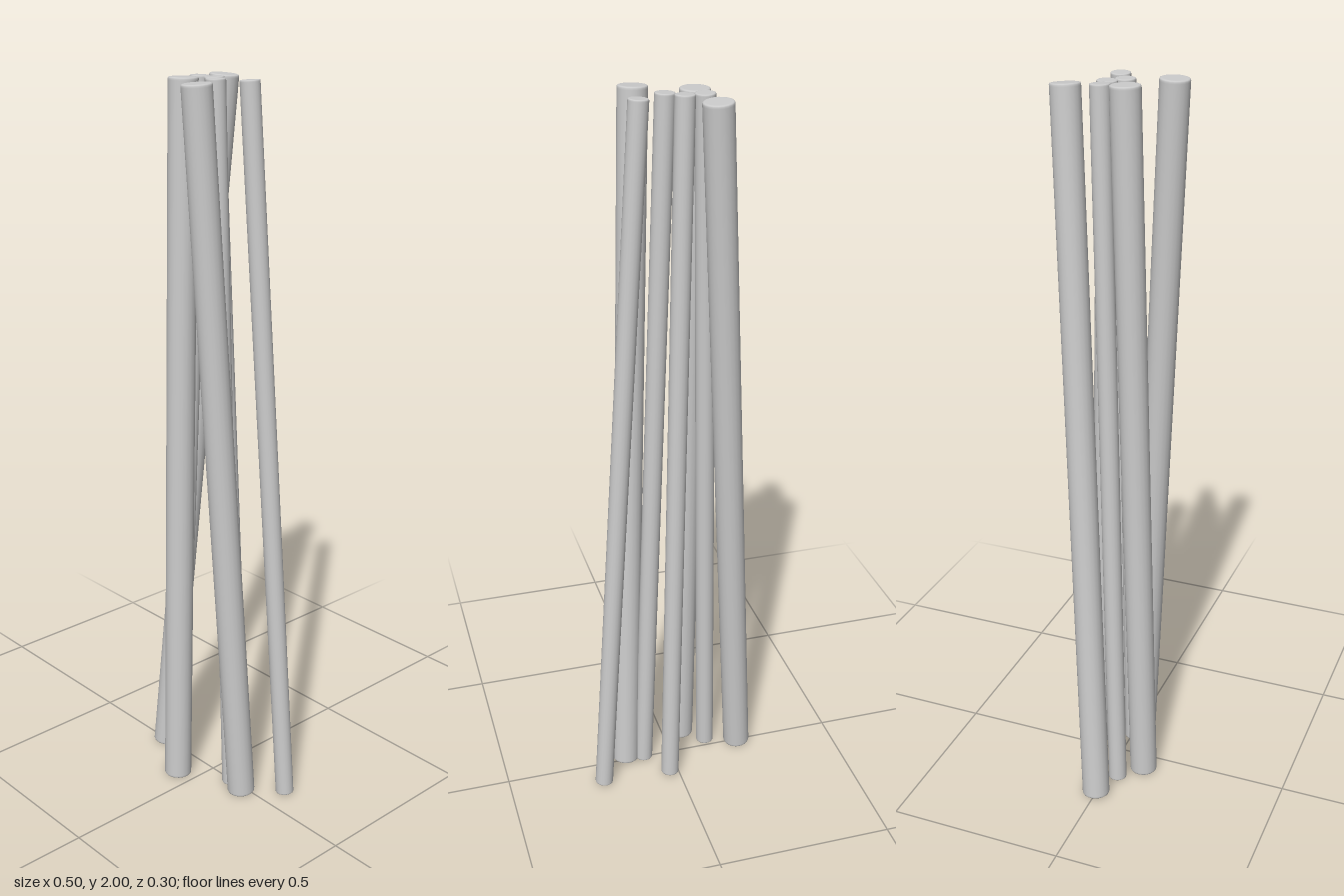
import * as THREE from 'three';

const material = new THREE.MeshStandardMaterial({ color: 0xcccccc });

// Each pole: radius, top [x, z], bottom [x, z]
const POLES = [
  ['thickPoleBackRight', 0.039, [-0.085, -0.116], [-0.213, 0.0]],
  ['thickPoleFrontRight', 0.039, [-0.073, 0.034], [-0.057, 0.089]],
  ['thickPoleFrontLeft', 0.039, [0.064, 0.111], [0.137, 0.014]],
  ['thinPoleRight', 0.026, [-0.08, -0.028], [-0.12, 0.031]],
  ['thinPoleBack', 0.026, [-0.029, -0.03], [0.025, -0.085]],
  ['thinPoleLeft', 0.026, [0.089, -0.041], [0.226, -0.076]],
  ['thinPoleMiddle', 0.026, [0.012, 0.002], [0.083, 0.004]],
];

// Round pole with softly eased rims, leaning from its bottom to its top point
function makePole(name, r, [tx, tz], [bx, bz]) {
  // Square-cut ends tilt with the pole, so the centres sit just inside the height
  const inset = r * Math.hypot(tx - bx, tz - bz) / 2;
  const bottom = new THREE.Vector3(bx, inset, bz);
  const axis = new THREE.Vector3(tx, 2 - inset, tz).sub(bottom);
  const h = axis.length();
  const b = r * 0.1;
  const lower = [[0, 0], [r - 2 * b, 0], [r - b, 0], [r - 0.3 * b, 0.3 * b], [r, b], [r, 2 * b]];
  const upper = lower.map(([x, y]) => [x, h - y]).reverse();
  const profile = [...lower, ...upper].map(([x, y]) => new THREE.Vector2(x, y));

  const pole = new THREE.Mesh(new THREE.LatheGeometry(profile, 20), material);
  pole.name = name;
  pole.position.copy(bottom);
  pole.quaternion.setFromUnitVectors(new THREE.Vector3(0, 1, 0), axis.normalize());
  return pole;
}

export function createModel() {
  const group = new THREE.Group();
  group.name = 'leaningPoles';
  for (const pole of POLES) group.add(makePole(...pole));
  return group;
}
